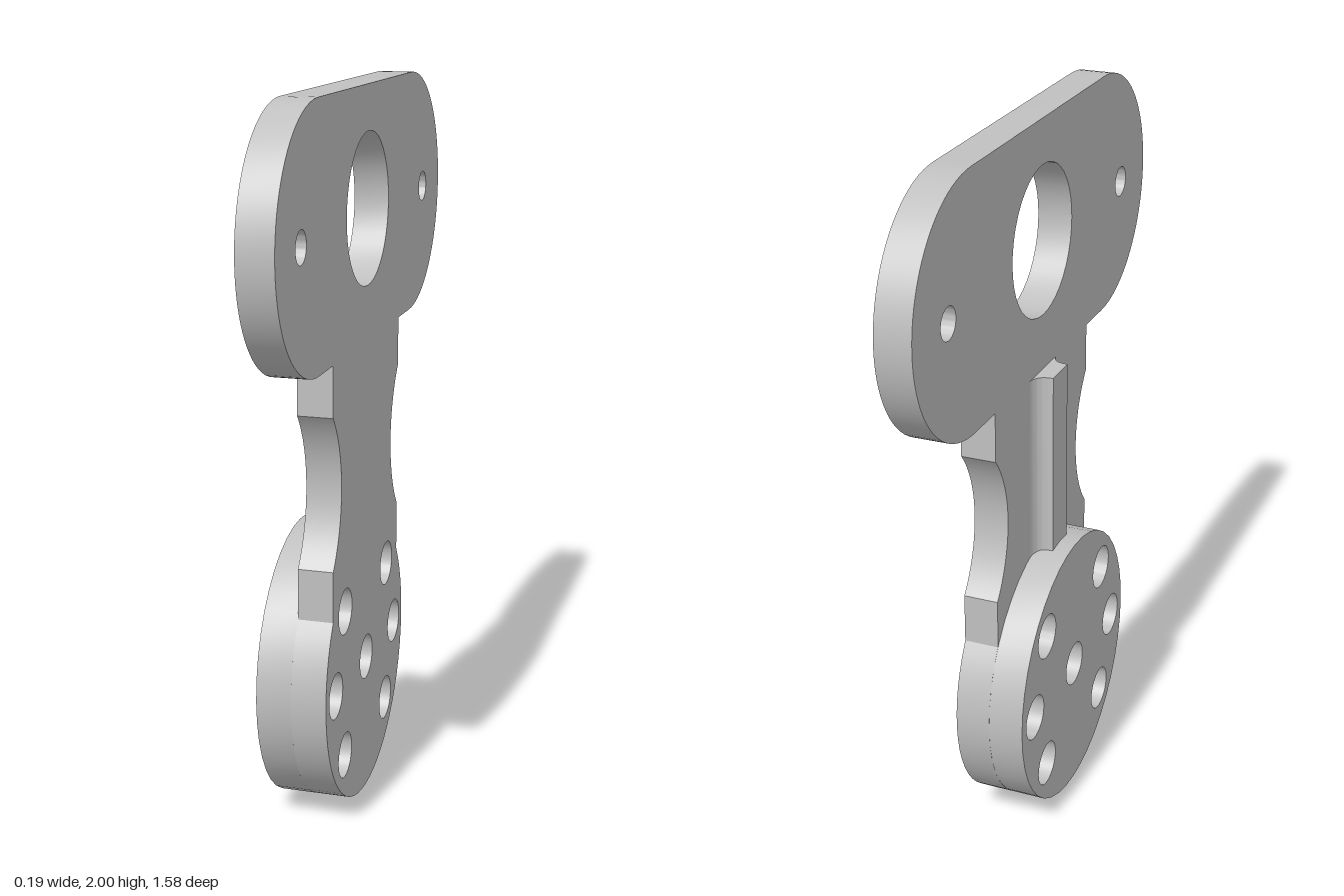
import * as THREE from 'three';
import { toCreasedNormals } from 'three/addons/utils/BufferGeometryUtils.js';

const PLATE_T = 0.0975, DISC_Y = 0.395, DISC_R = 0.395;
const NECK = 0.327, HEAD_Y = 1.6575, HEAD_R = 0.3425, HEAD_X = 0.4475;

export function createModel() {
  const group = new THREE.Group();
  const grey = new THREE.MeshStandardMaterial({ color: 0xc0c0c0 });
  grey.name = 'grey';

  const add = (name, geometry) => {
    const mesh = new THREE.Mesh(toCreasedNormals(geometry, 0.5), grey);
    mesh.name = name;
    group.add(mesh);
  };
  const hole = (shape, x, y, r) => {
    shape.holes.push(new THREE.Path().absarc(x, y, r, 0, Math.PI * 2, true));
  };
  // Extrude a side profile towards +x, starting at the given x
  const slab = (shape, depth, x) =>
    new THREE.ExtrudeGeometry(shape, { depth, bevelEnabled: false, curveSegments: 20 })
      .rotateY(Math.PI / 2).translate(x, 0, 0);
  // One bolt in the middle and six around it
  const boltHoles = (shape) => {
    hole(shape, 0, 0.397, 0.064);
    for (const s of [-1, 1]) {
      hole(shape, s * 0.3, 0.397, 0.064);
      for (const t of [-1, 1]) hole(shape, s * 0.211, 0.397 + t * 0.211, 0.064);
    }
  };

  // Main plate: round foot, notched neck, wide rounded head
  const a = Math.acos(NECK / DISC_R);
  const notchY = 0.967, notchX = 0.573, notchR = 0.323;
  const n = Math.acos((notchX - NECK) / notchR);
  const headBottom = HEAD_Y - HEAD_R;
  const plate = new THREE.Shape();
  plate.absarc(0, DISC_Y, DISC_R, Math.PI - a, Math.PI * 2 + a, false);
  plate.absarc(notchX, notchY, notchR, Math.PI + n, Math.PI - n, true);
  plate.lineTo(NECK, headBottom);
  plate.absarc(HEAD_X, HEAD_Y, HEAD_R, -Math.PI / 2, Math.PI / 2, false);
  plate.absarc(-HEAD_X, HEAD_Y, HEAD_R, Math.PI / 2, Math.PI * 1.5, false);
  plate.lineTo(-NECK, headBottom);
  plate.absarc(-notchX, notchY, notchR, n, -n, true);
  plate.closePath();
  hole(plate, 0, 1.672, 0.206);
  for (const s of [-1, 1]) hole(plate, s * 0.593, 1.66, 0.043);
  boltHoles(plate);
  add('plate', slab(plate, PLATE_T, 0));

  // Thick boss behind the foot
  const boss = new THREE.Shape().absarc(0, DISC_Y, DISC_R, 0, Math.PI * 2, false);
  boltHoles(boss);
  add('boss', slab(boss, PLATE_T, -PLATE_T));

  // Stiffening rib with filleted base
  const rib = new THREE.Shape();
  rib.moveTo(-0.05, -0.052);
  rib.lineTo(-0.038, -0.053);
  rib.quadraticCurveTo(-0.004, -0.057, 0, -0.095);
  rib.lineTo(0, 0.095);
  rib.quadraticCurveTo(-0.004, 0.057, -0.038, 0.053);
  rib.lineTo(-0.05, 0.052);
  rib.closePath();
  add('rib', new THREE.ExtrudeGeometry(rib, { depth: 0.54, bevelEnabled: false, curveSegments: 8 })
    .rotateX(-Math.PI / 2).translate(0, 0.77, 0));

  return group;
}
